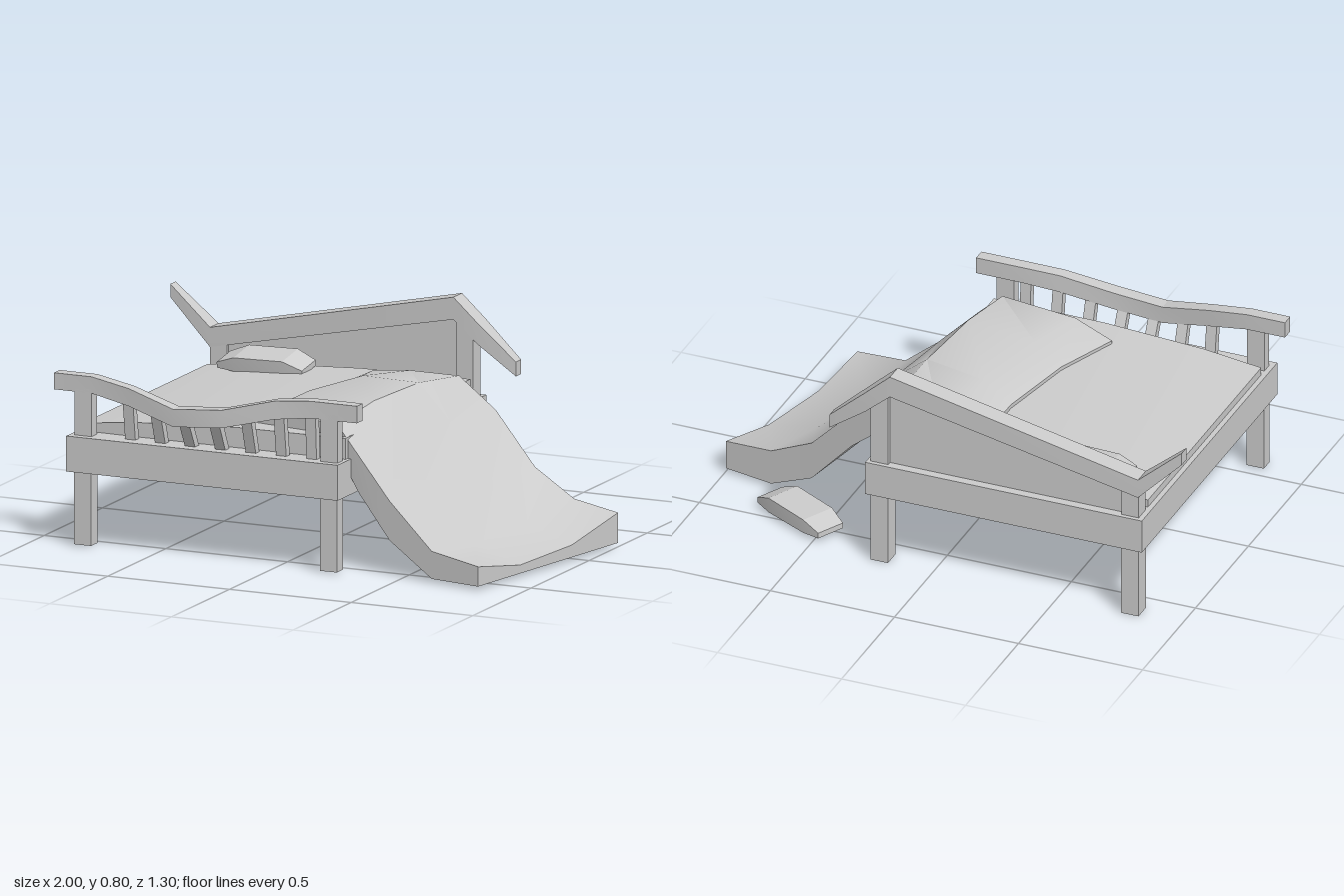
import * as THREE from 'three';
import { toCreasedNormals } from 'three/addons/utils/BufferGeometryUtils.js';

const material = new THREE.MeshStandardMaterial({ color: 0xcccccc });

// Solid through rings of points that advance along +x (bottom front-to-back, then top back-to-front)
function loft(rings, crease = 0.3) {
  const p = [];
  const quad = (a, b, c, d) => p.push(...a, ...b, ...c, ...a, ...c, ...d);
  const n = rings[0].length;
  for (let i = 0; i < rings.length - 1; i++) {
    const a = rings[i], b = rings[i + 1];
    for (let j = 0; j < n; j++) {
      const k = (j + 1) % n;
      quad(a[j], a[k], b[k], b[j]);
    }
  }
  const first = rings[0], last = rings[rings.length - 1];
  for (let j = 0; j < n / 2 - 1; j++) {
    quad(last[j], last[j + 1], last[n - 2 - j], last[n - 1 - j]);
    quad(first[n - 1 - j], first[n - 2 - j], first[j + 1], first[j]);
  }
  const g = new THREE.BufferGeometry();
  g.setAttribute('position', new THREE.Float32BufferAttribute(p, 3));
  return toCreasedNormals(g, crease);
}

// Rectangular section at x: low y, high y, back z, front z
const section = ([x, lo, hi, zb, zf]) => [[x, lo, zf], [x, lo, zb], [x, hi, zb], [x, hi, zf]];

export function createModel() {
  const group = new THREE.Group();
  const add = (name, geometry) => {
    const mesh = new THREE.Mesh(geometry, material);
    mesh.name = name;
    group.add(mesh);
    return mesh;
  };
  const box = (name, x0, x1, y0, y1, z0, z1) => {
    const mesh = add(name, new THREE.BoxGeometry(x1 - x0, y1 - y0, z1 - z0));
    mesh.position.set((x0 + x1) / 2, (y0 + y1) / 2, (z0 + z1) / 2);
    return mesh;
  };

  // Frame, legs and posts
  box('bedFrame', -0.85, 0.265, 0.285, 0.42, -0.655, 0.625);
  for (const [x, headTop] of [[-0.83, 0.55], [0.18, 0.71]]) {
    box('frontLeg', x, x + 0.07, 0.005, 0.285, 0.545, 0.6);
    box('backLeg', x, x + 0.07, 0, 0.285, -0.64, -0.57);
    box('footPost', x, x + 0.07, 0.42, 0.6, 0.55, 0.595);
    box('headPost', x, x + 0.07, 0.42, headTop, -0.638, -0.572);
  }

  // Headboard: sloping roof-like rail with a panel below
  add('headRail', loft([
    [-1, 0.68, 0.73, -0.63, -0.585],
    [-0.83, 0.51, 0.585, -0.645, -0.57],
    [0.17, 0.715, 0.8, -0.645, -0.57],
    [0.27, 0.63, 0.71, -0.645, -0.57],
    [0.42, 0.52, 0.575, -0.63, -0.585],
  ].map(section)));
  add('headPanel', loft([
    [-0.79, 0.42, 0.53, -0.62, -0.585],
    [0.2, 0.42, 0.73, -0.62, -0.585],
  ].map(section)));

  // Footboard: rail that sags and bows outward
  const rail = [
    [-0.915, 0.585, 0.648, 0.545, 0.595],
    [-0.76, 0.585, 0.648, 0.545, 0.595],
    [-0.6, 0.555, 0.622, 0.56, 0.61],
    [-0.4, 0.505, 0.572, 0.595, 0.65],
    [-0.2, 0.52, 0.588, 0.595, 0.65],
    [0, 0.565, 0.635, 0.56, 0.61],
    [0.14, 0.58, 0.645, 0.545, 0.595],
    [0.33, 0.58, 0.645, 0.545, 0.595],
  ];
  add('footRail', loft(rail.map(section)));

  // Slats lean out to meet the rail
  for (let i = 0; i < 7; i++) {
    const x = -0.61 + i * 0.124;
    const k = rail.findIndex((r) => r[0] > x);
    const a = rail[k - 1], b = rail[k];
    const t = (x - a[0]) / (b[0] - a[0]);
    const at = (j) => THREE.MathUtils.lerp(a[j], b[j], t);
    const dy = at(1) + 0.02 - 0.41, dz = (at(3) + at(4)) / 2 - 0.56;
    const slat = add('footSlat', new THREE.BoxGeometry(0.042, Math.hypot(dy, dz), 0.03));
    slat.position.set(x, 0.41 + dy / 2, 0.56 + dz / 2);
    slat.rotation.x = Math.atan2(dz, dy);
  }

  // Mattress, thinner toward the right side
  add('mattress', loft([
    [-0.83, 0.41, 0.45, -0.55, 0.52],
    [-0.6, 0.41, 0.475, -0.55, 0.525],
    [-0.2, 0.41, 0.497, -0.55, 0.525],
    [0.25, 0.41, 0.5, -0.55, 0.525],
  ].map(section)));

  // Blanket falling to the floor: [x, top y, z] along its back and front edges
  const backEdge = [[-0.12, 0.51, -0.49], [0.05, 0.535, -0.45], [0.27, 0.545, -0.41], [0.44, 0.44, -0.37],
    [0.62, 0.25, -0.33], [0.8, 0.155, -0.29], [1, 0.13, -0.25]];
  const frontEdge = [[-0.28, 0.505, 0.4], [-0.12, 0.55, 0.43], [0.2, 0.54, 0.49], [0.3, 0.44, 0.52],
    [0.44, 0.285, 0.545], [0.63, 0.12, 0.58], [0.84, 0.09, 0.62]];
  const thickness = [0.02, 0.06, 0.1, 0.14, 0.15, 0.15, 0.15];
  const midLift = [0.005, 0.03, 0.035, 0.01, -0.005, -0.03, -0.055];
  const rows = [0, 0.33, 0.7, 1];
  const rings = backEdge.map((b, i) => {
    const f = frontEdge[i];
    const top = rows.map((u, r) => {
      const q = b.map((v, c) => THREE.MathUtils.lerp(v, f[c], u));
      if (r === 1 || r === 2) q[1] += midLift[i];
      if (i === 0 && r > 0 && r < 3) q[0] += 0.045;
      return q;
    });
    const bottom = top.map(([x, y, z]) => [x, Math.max(0.015, y - thickness[i]), z]);
    return [...bottom.reverse(), ...top];
  });
  add('blanket', loft(rings, 0.75));

  // Pillows: faceted cushions, slightly narrower at the ends
  const pillowShape = [
    [-0.175, 0, 0.022, -0.06, 0.06],
    [-0.1, -0.005, 0.05, -0.07, 0.07],
    [0.1, -0.005, 0.055, -0.07, 0.07],
    [0.175, 0, 0.022, -0.06, 0.06],
  ];
  const bedPillow = add('bedPillow', loft(pillowShape.map(section)));
  bedPillow.position.set(-0.55, 0.485, -0.47);
  bedPillow.rotation.x = 0.15;
  const floorPillow = add('floorPillow', loft(pillowShape.map(section)));
  floorPillow.position.set(0.605, 0.02, -0.472);
  floorPillow.rotation.y = -0.47;

  return group;
}
